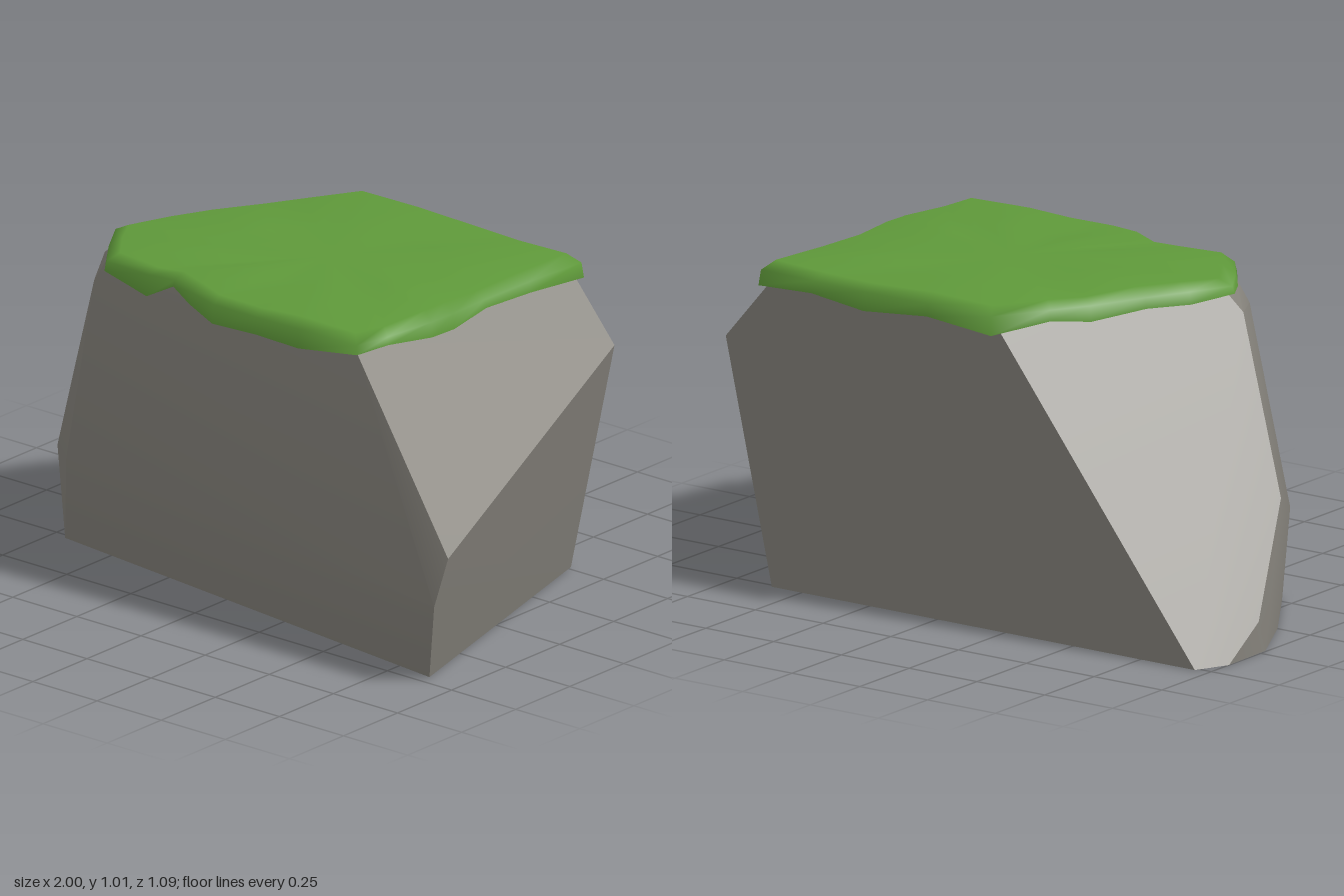
import * as THREE from 'three';
import { toCreasedNormals } from 'three/addons/utils/BufferGeometryUtils.js';
import { ConvexGeometry } from 'three/addons/geometries/ConvexGeometry.js';

const stone = new THREE.MeshStandardMaterial({ color: 0x85827b });
stone.name = 'stone grey';
const green = new THREE.MeshStandardMaterial({ color: 0x5f993a, side: THREE.DoubleSide });
green.name = 'grass green';

// Boulder: convex hull of its corner points
function makeRock() {
  const corners = [
    // base outline
    [0.88, 0, 0.46], [0.61, 0, -0.515], [-0.95, 0, -0.515], [-1, 0, -0.41],
    [-0.995, 0, -0.22], [-0.88, 0, 0], [-0.7, 0, 0.27],
    // bulging belt
    [0.97, 0.27, 0.545], [0.995, 0.42, 0.51], [0.78, 0.75, -0.515],
    [-0.62, 0.3, 0.36], [-0.73, 0.29, 0.27], [-0.9, 0.41, -0.01], [-1, 0.1, -0.26],
    // shoulder and top
    [-0.63, 0.9, 0.17], [-0.54, 0.88, 0.325],
    [-0.21, 0.955, -0.515], [-0.575, 0.955, 0.16], [-0.5, 0.955, 0.31],
    [0.58, 0.955, 0.44], [0.605, 0.955, -0.515],
  ].map((p) => new THREE.Vector3(...p));
  const mesh = new THREE.Mesh(toCreasedNormals(new ConvexGeometry(corners), 0.42), stone);
  mesh.name = 'rock';
  return mesh;
}

// Grass cap: rings shrinking from a ragged hem up to the crown
function makeGrass() {
  // x, z of the hem and its height
  const hem = [
    [-0.22, -0.545, 0.92], [0.02, -0.54, 0.94], [0.25, -0.545, 0.92], [0.45, -0.535, 0.94],
    [0.65, -0.528, 0.93], [0.635, -0.3, 0.945], [0.63, -0.1, 0.953], [0.632, 0.05, 0.93],
    [0.63, 0.15, 0.932], [0.61, 0.33, 0.955], [0.585, 0.445, 0.95], [0.36, 0.45, 0.918],
    [0.2, 0.457, 0.925], [0.03, 0.457, 0.918], [-0.09, 0.42, 0.94], [-0.19, 0.375, 0.958],
    [-0.28, 0.392, 0.91], [-0.45, 0.385, 0.947], [-0.53, 0.28, 0.94], [-0.605, 0.16, 0.955],
    [-0.54, 0.03, 0.94], [-0.47, -0.1, 0.945], [-0.39, -0.27, 0.93], [-0.32, -0.38, 0.945],
  ];
  const cx = 0.08, cz = -0.03, n = hem.length;
  const rings = [[1, null], [0.99, 0.978], [0.93, 1.003], [0.5, 1.006]]; // scale, height
  const pos = [], index = [];
  rings.forEach(([s, y]) => hem.forEach(([x, z, low], i) => {
    const ripple = y > 1 ? 0.005 * Math.sin(i * 1.9) : 0;
    pos.push(cx + (x - cx) * s, (y ?? low) + ripple, cz + (z - cz) * s);
  }));
  pos.push(cx, 1.005, cz);
  for (let i = 0; i < n; i++) {
    const j = (i + 1) % n;
    for (let r = 0; r < rings.length - 1; r++) {
      const a = r * n + i, b = r * n + j;
      index.push(a, a + n, b, b, a + n, b + n);
    }
    const last = (rings.length - 1) * n;
    index.push(last + i, rings.length * n, last + j);
  }
  const geo = new THREE.BufferGeometry();
  geo.setAttribute('position', new THREE.Float32BufferAttribute(pos, 3));
  geo.setIndex(index);
  geo.computeVertexNormals();
  const mesh = new THREE.Mesh(geo, green);
  mesh.name = 'grassCap';
  return mesh;
}

export function createModel() {
  const group = new THREE.Group();
  group.name = 'grassyRock';
  group.add(makeRock(), makeGrass());
  return group;
}
